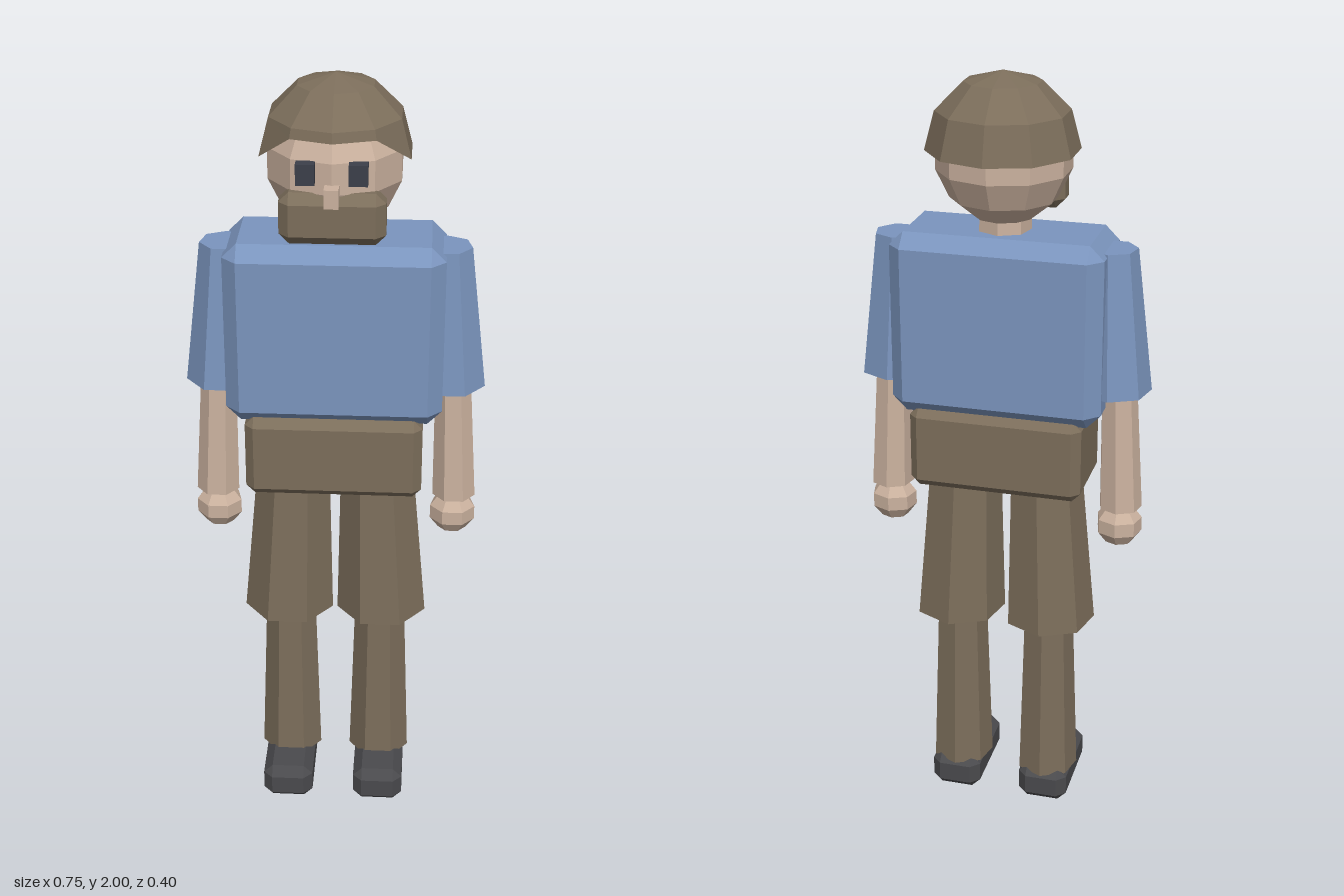
import * as THREE from 'three';
import { ConvexGeometry } from 'three/addons/geometries/ConvexGeometry.js';

function material(name, color) {
  const m = new THREE.MeshStandardMaterial({ color });
  m.name = name;
  m.flatShading = true;
  return m;
}

// Box with all edges chamfered by c; min and max corners
function chamferBox(min, max, c) {
  const lo = new THREE.Vector3(...min), hi = new THREE.Vector3(...max);
  const mid = lo.clone().add(hi).multiplyScalar(0.5);
  const half = hi.clone().sub(lo).multiplyScalar(0.5);
  const pts = [];
  for (const sx of [-1, 1]) for (const sy of [-1, 1]) for (const sz of [-1, 1]) {
    for (let a = 0; a < 3; a++) {
      pts.push(new THREE.Vector3(
        sx * (half.x - (a === 0 ? 0 : c)),
        sy * (half.y - (a === 1 ? 0 : c)),
        sz * (half.z - (a === 2 ? 0 : c))).add(mid));
    }
  }
  return new ConvexGeometry(pts);
}

// Seven-sided tapered limb leaning from (x0, y0) at the bottom to (x1, y1) at the top
function limb(x0, y0, r0, x1, y1, r1, z = 0.004) {
  const h = y1 - y0;
  const g = new THREE.CylinderGeometry(r1, r0, h, 7, 1, false, Math.PI / 7);
  g.translate(0, h / 2, 0);
  const p = g.attributes.position;
  for (let i = 0; i < p.count; i++) {
    p.setX(i, p.getX(i) + x0 + (x1 - x0) * p.getY(i) / h);
  }
  return g.translate(0, y0, z);
}

// Half-dome hat whose front rim is lifted off the forehead
function hatGeometry() {
  const r = 0.188;
  const g = new THREE.SphereGeometry(r, 10, 3, Math.PI / 2, Math.PI * 2, 0, Math.PI / 2);
  const p = g.attributes.position;
  for (let i = 0; i < p.count; i++) {
    if (p.getY(i) < 0.01 && p.getZ(i) > 0.1) {
      p.setXYZ(i, p.getX(i) * 0.9, 0.07, p.getZ(i) * 0.9);
    }
  }
  return g.translate(0, 1.812, -0.012);
}

export function createModel() {
  const model = new THREE.Group();
  model.name = 'figure';

  const skin = material('skin', 0xcbb29f);
  const shirt = material('shirt blue', 0x7b95be);
  const brown = material('brown', 0x7c6e5b);
  const shoe = material('shoe grey', 0x4a4a4d);
  const eye = material('eye dark', 0x3c3f4a);
  const hatBrown = brown;
  hatBrown.side = THREE.DoubleSide;

  const add = (name, geometry, mat, parent = model) => {
    const mesh = new THREE.Mesh(geometry, mat);
    mesh.name = name;
    parent.add(mesh);
    return mesh;
  };

  // Head
  const head = new THREE.Group();
  head.name = 'head';
  model.add(head);
  add('skull', new THREE.SphereGeometry(0.17, 10, 7, Math.PI / 2).translate(0, 1.8, 0), skin, head);
  add('hat', hatGeometry(), hatBrown, head);
  add('beard', chamferBox([-0.125, 1.64, 0.09], [0.125, 1.765, 0.175], 0.024), brown, head);
  add('nose', new THREE.BoxGeometry(0.034, 0.045, 0.06).translate(0, 1.765, 0.168), skin, head);
  add('neck', new THREE.CylinderGeometry(0.065, 0.07, 0.12, 7, 1, false, Math.PI / 7).translate(0, 1.61, 0.002), skin);

  // Trunk
  add('torso', chamferBox([-0.268, 1.145, -0.122], [0.268, 1.613, 0.13], 0.036), shirt);
  add('hips', chamferBox([-0.222, 0.943, -0.115], [0.222, 1.158, 0.13], 0.022), brown);

  // Paired parts: the model's left is +x
  for (const [s, side] of [[1, 'left'], [-1, 'right']]) {
    add(side + 'Eye', new THREE.BoxGeometry(0.044, 0.05, 0.03).translate(s * 0.061, 1.815, 0.162), eye, head);

    const arm = new THREE.Group();
    arm.name = side + 'Arm';
    model.add(arm);
    add('sleeve', limb(s * 0.283, 1.22, 0.093, s * 0.27, 1.585, 0.062), shirt, arm);
    add('forearm', limb(s * 0.306, 0.9, 0.056, s * 0.294, 1.25, 0.045), skin, arm);
    add('hand', new THREE.SphereGeometry(0.062, 7, 5, Math.PI / 14)
      .scale(1, 0.95, 0.92).translate(s * 0.304, 0.848, 0.006), skin, arm);

    const leg = new THREE.Group();
    leg.name = side + 'Leg';
    model.add(leg);
    add('shortsLeg', limb(s * 0.123, 0.55, 0.12, s * 0.108, 0.97, 0.096), brown, leg);
    add('lowerLeg', limb(s * 0.121, 0.085, 0.083, s * 0.119, 0.6, 0.066), brown, leg);
    const x = s * 0.123;
    add('shoe', chamferBox([x - 0.067, 0, -0.077], [x + 0.067, 0.1, 0.181], 0.024), shoe, leg);
  }

  return model;
}
